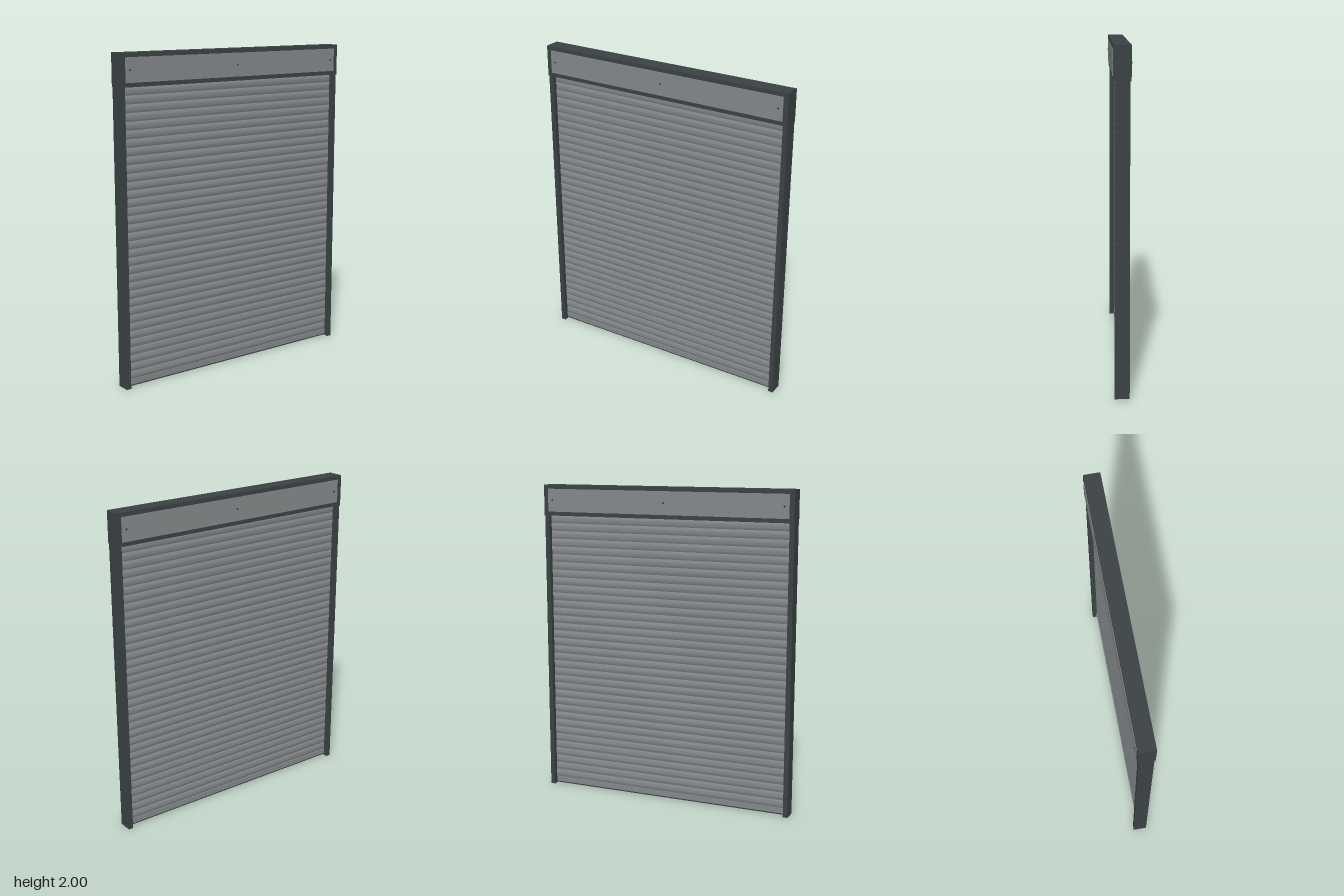
import * as THREE from 'three';
import { toCreasedNormals } from 'three/addons/utils/BufferGeometryUtils.js';

const dark = new THREE.MeshStandardMaterial({ color: 0x3b4144 });
const grey = new THREE.MeshStandardMaterial({ color: 0x84888a });

const HEAD_Y = 1.805; // underside of the shutter box

export function createModel() {
  const model = new THREE.Group();
  model.name = 'rollerShutter';

  const add = (name, geometry, material, x = 0, y = 0, z = 0) => {
    const mesh = new THREE.Mesh(geometry, material);
    mesh.name = name;
    mesh.position.set(x, y, z);
    model.add(mesh);
    return mesh;
  };
  const box = (name, w, y0, y1, d, material) =>
    add(name, new THREE.BoxGeometry(w, y1 - y0, d), material, 0, (y0 + y1) / 2, 0);

  // Shutter box, with a raised cover panel on both faces
  box('shutterBox', 1.66, HEAD_Y, 2, 0.1, dark);
  box('coverPanels', 1.6, 1.83, 1.975, 0.106, grey);

  // Cover screws, front and back
  const screw = new THREE.CylinderGeometry(0.005, 0.007, 0.004, 12).rotateX(Math.PI / 2);
  for (const side of [1, -1]) {
    for (const x of [-0.77, 0, 0.77]) {
      const head = add('coverScrew', screw, dark, x, 1.903, side * 0.054);
      if (side < 0) head.rotation.y = Math.PI;
    }
  }

  // Guide rails: U channels open towards the curtain
  const rail = new THREE.Shape([
    [0.8, -0.043], [0.83, -0.043], [0.83, 0.043], [0.8, 0.043],
    [0.8, 0.015], [0.82, 0.015], [0.82, -0.015], [0.8, -0.015],
  ].map(([x, z]) => new THREE.Vector2(x, z)));
  const railGeometry = new THREE.ExtrudeGeometry(rail, { depth: HEAD_Y, bevelEnabled: false });
  railGeometry.rotateX(-Math.PI / 2);
  add('leftGuideRail', railGeometry, dark);
  add('rightGuideRail', railGeometry, dark).rotation.y = Math.PI;

  // Curtain: one section of bulging slats, drawn up one face and down the other
  const slats = 35, steps = 6, y0 = 0.045;
  const pitch = (HEAD_Y - y0) / slats;
  const face = [];
  for (let i = 0; i <= slats * steps; i++) {
    const t = (i % steps) / steps;
    face.push(new THREE.Vector2(0.006 + 0.024 * t * (1 - t), y0 + (i * pitch) / steps));
  }
  const back = face.map((p) => new THREE.Vector2(-p.x, p.y)).reverse();
  const curtain = new THREE.ExtrudeGeometry(new THREE.Shape([...face, ...back]), {
    depth: 1.63, bevelEnabled: false,
  });
  curtain.translate(0, 0, -0.815).rotateY(Math.PI / 2);
  add('slatCurtain', toCreasedNormals(curtain, 0.5), grey);

  // Bottom bar and its seal
  box('bottomBar', 1.63, 0.012, 0.045, 0.026, grey);
  box('bottomSeal', 1.63, 0.004, 0.012, 0.022, dark);

  return model;
}
